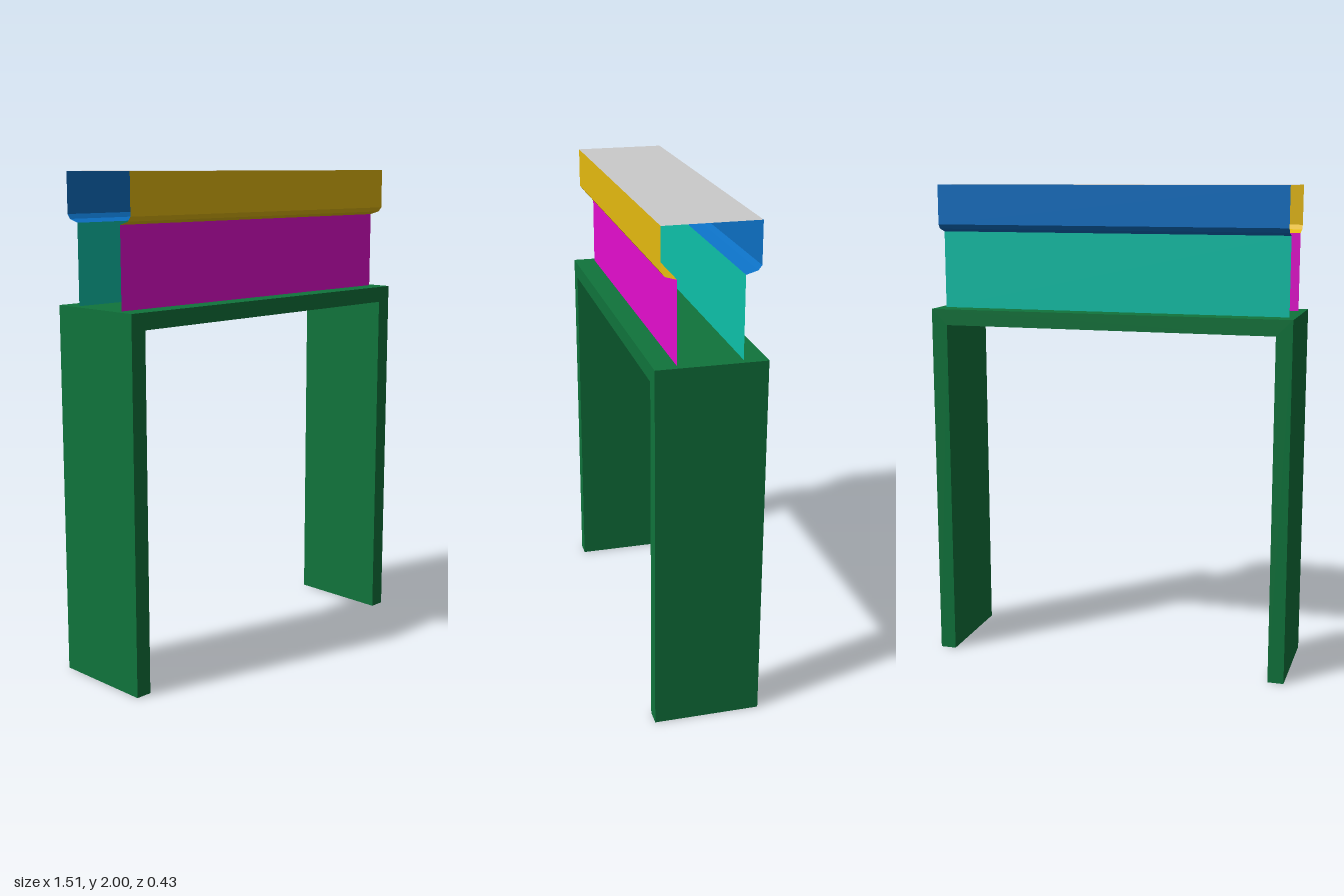
import * as THREE from 'three';

const mat = (color) => new THREE.MeshStandardMaterial({ color, side: THREE.DoubleSide, flatShading: true });

// Thin sheet: a [z, y] profile swept along x
function sheet(name, profile, width, color) {
  const pos = [];
  const h = width / 2;
  for (let i = 0; i < profile.length - 1; i++) {
    const [z0, y0] = profile[i], [z1, y1] = profile[i + 1];
    pos.push(-h, y0, z0, -h, y1, z1, h, y1, z1, -h, y0, z0, h, y1, z1, h, y0, z0);
  }
  const geo = new THREE.BufferGeometry();
  geo.setAttribute('position', new THREE.Float32BufferAttribute(pos, 3));
  geo.computeVertexNormals();
  const mesh = new THREE.Mesh(geo, mat(color));
  mesh.name = name;
  return mesh;
}

export function createModel() {
  const model = new THREE.Group();
  model.name = 'signArch';

  // Portal frame: two legs and a lintel as one outline
  const W = 0.756, H = 1.49, T = 0.066, D = 0.426;
  const outline = new THREE.Shape([
    [-W, 0], [-W + T, 0], [-W + T, H - T], [W - T, H - T],
    [W - T, 0], [W, 0], [W, H], [-W, H],
  ].map(([x, y]) => new THREE.Vector2(x, y)));
  const frameGeo = new THREE.ExtrudeGeometry(outline, { depth: D, bevelEnabled: false });
  frameGeo.translate(0, 0, -D / 2);
  const frame = new THREE.Mesh(frameGeo, mat(0x10743c));
  frame.name = 'frame';
  model.add(frame);

  // Open-ended sign: lower panels, upper fascias with a tucked lip, flat roof
  const width = 1.456, zOut = 0.184, zIn = 0.125;
  const sides = [
    { name: 'front', s: 1, panel: 0xe60ed0, fascia: 0xe6bb10 },
    { name: 'back', s: -1, panel: 0x0ec2aa, fascia: 0x0c70c4 },
  ];
  for (const { name, s, panel, fascia } of sides) {
    model.add(sheet(name + 'Panel', [[s * zIn, 1.807], [s * zIn, H]], width, panel));
    model.add(sheet(name + 'Fascia',
      [[s * zOut, 2], [s * zOut, 1.838], [s * 0.17, 1.82], [s * zIn, 1.807]], width, fascia));
  }
  model.add(sheet('roof', [[-zOut, 2], [zOut, 2]], width, 0xcccccc));

  return model;
}
